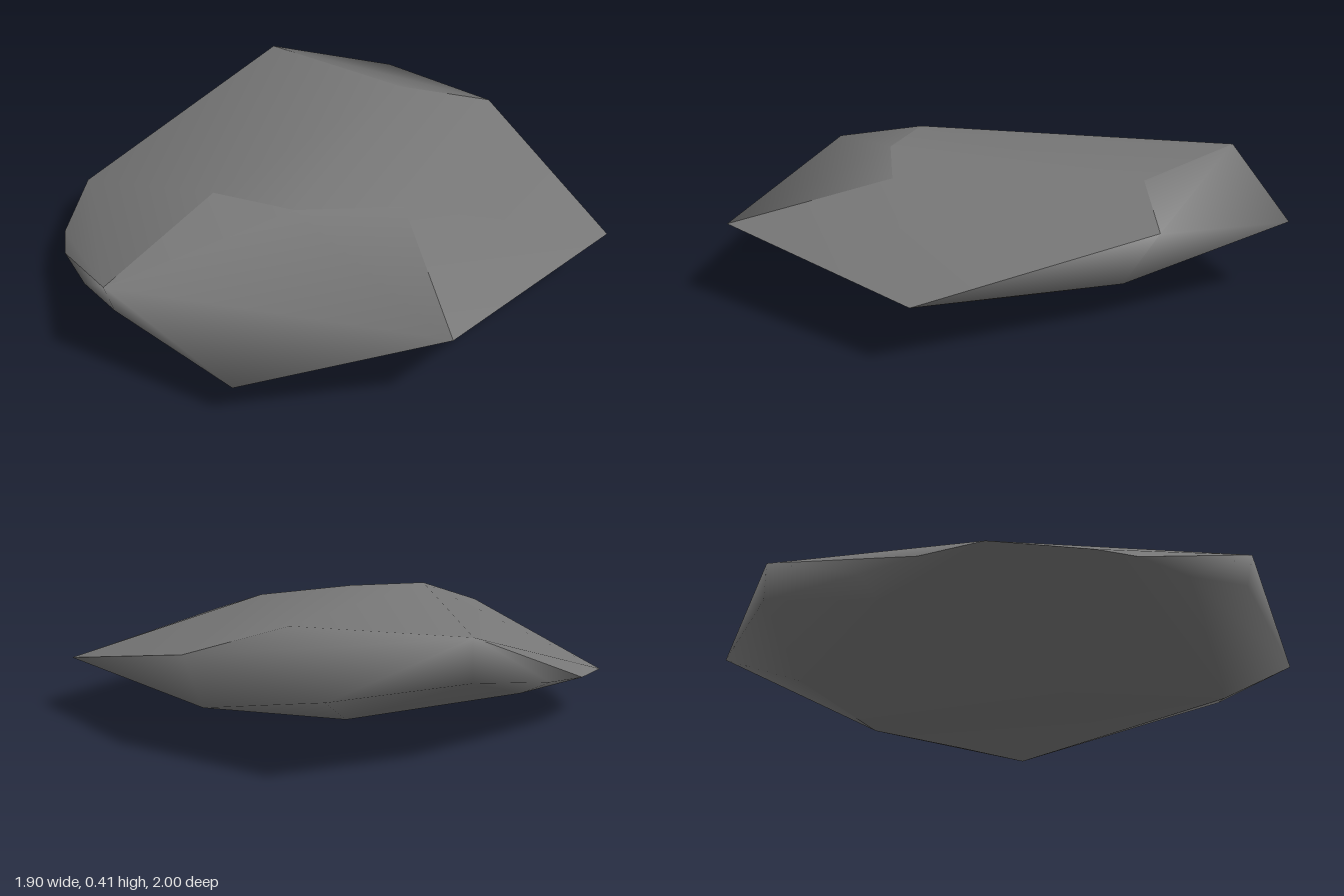
import * as THREE from 'three';
import { ConvexGeometry } from 'three/addons/geometries/ConvexGeometry.js';
import { mergeVertices } from 'three/addons/utils/BufferGeometryUtils.js';

// Widest outline of the slab, walked around from the back
const rim = [
  [0.02, 0.24, -1], [-0.42, 0.25, -0.77], [-0.71, 0.18, -0.4], [-0.85, 0.16, -0.21],
  [-0.95, 0.15, 0], [-0.92, 0.13, 0.32], [-0.87, 0.13, 0.45], [-0.58, 0.29, 0.83],
  [-0.13, 0.1, 1], [0.51, 0.245, 0.83], [0.95, 0.18, 0.05], [0.47, 0.31, -0.62],
];

// Ridge points of the upper side
const crown = [
  [-0.42, 0.39, -0.77], [-0.34, 0.41, 0.41], [-0.06, 0.395, 0.44],
  [0.28, 0.375, 0.32], [0.14, 0.385, -0.52],
];

// Corners of the tilted underside
const base = [
  [-0.1, 0, 0.77], [-0.17, 0.005, 0.76], [0.03, 0.03, 0.62], [0.5, 0.1, 0.33],
  [0.58, 0.105, -0.2], [0.42, 0.115, -0.5], [-0.04, 0.125, -0.71],
  [-0.62, 0.135, -0.36], [-0.8, 0.13, 0.2], [-0.74, 0.13, 0.61], [-0.56, 0.19, 0.81],
];

// Which side of the stone a face belongs to, from its normal
function sideOf(n) {
  if (n.y < -0.985) return 'underside';
  if (n.y > 0.5 && (n.x < -0.2 || Math.abs(n.z) < 0.15)) return 'plateau';
  return 'flanks';
}

export function createModel() {
  const group = new THREE.Group();
  group.name = 'rock';

  const stone = new THREE.MeshStandardMaterial({ color: 0x777777 });
  stone.name = 'grey stone';

  // Sort the faces of the stone skin by side
  const points = [...rim, ...crown, ...base].map((p) => new THREE.Vector3(...p));
  const { position, normal } = new ConvexGeometry(points).attributes;
  const sides = { plateau: [], flanks: [], underside: [] };
  const n = new THREE.Vector3();
  for (let i = 0; i < position.count; i += 3) {
    n.fromBufferAttribute(normal, i);
    sides[sideOf(n)].push(...position.array.slice(i * 3, i * 3 + 9));
  }

  // Each side is smooth in itself, with sharp edges between sides
  for (const [name, corners] of Object.entries(sides)) {
    const soup = new THREE.BufferGeometry();
    soup.setAttribute('position', new THREE.Float32BufferAttribute(corners, 3));
    const geometry = mergeVertices(soup);
    geometry.computeVertexNormals();
    const mesh = new THREE.Mesh(geometry, stone);
    mesh.name = name;
    group.add(mesh);
  }
  return group;
}
